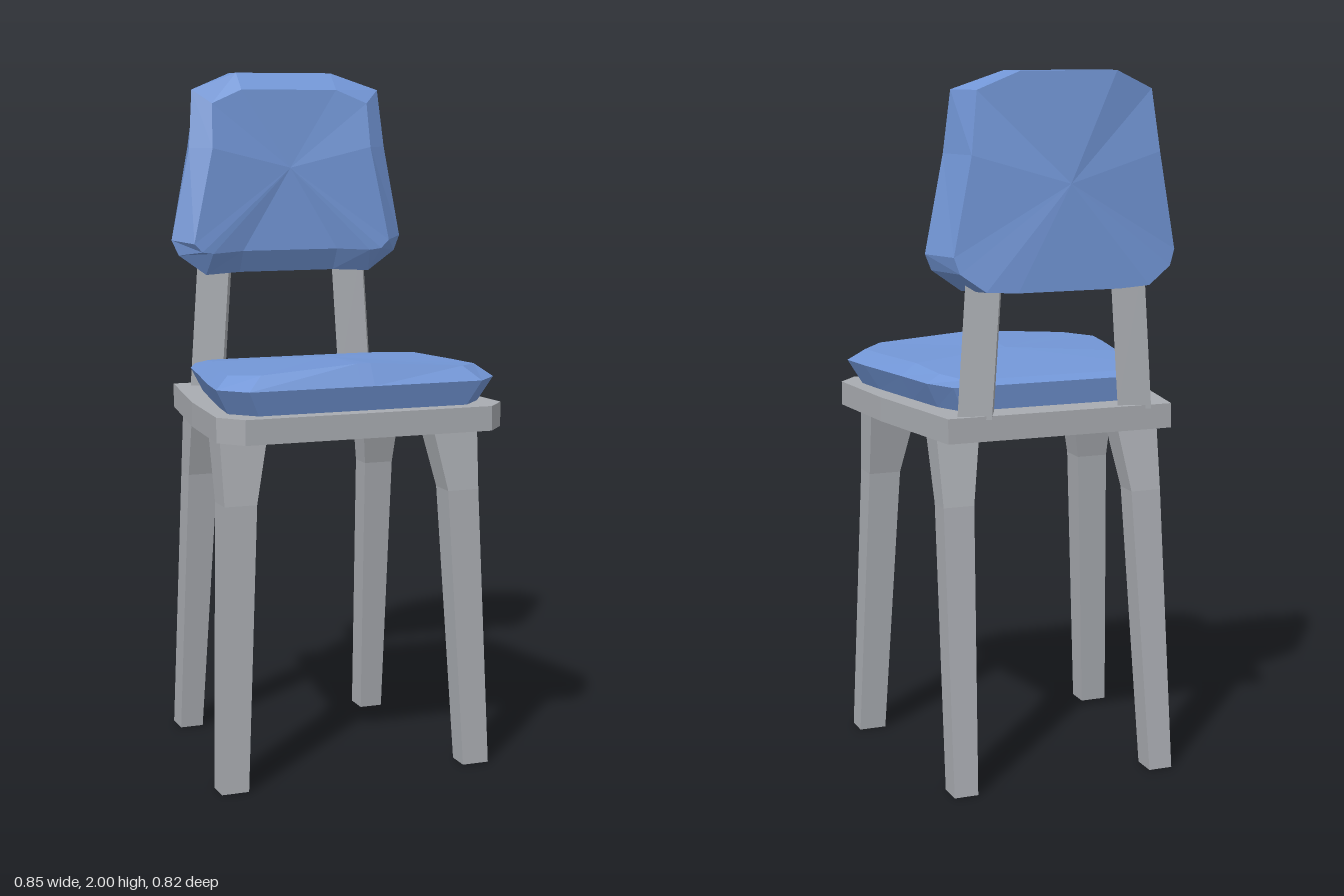
import * as THREE from 'three';

// Flat-shaded skin through rings of [x, y, z]; rings run counterclockwise seen from the last ring.
function loft(name, rings, material, startCentre, endCentre) {
  const pos = [];
  const tri = (a, b, c) => pos.push(...a, ...b, ...c);
  const n = rings[0].length;
  const mean = (r) => [0, 1, 2].map((k) => r.reduce((s, p) => s + p[k], 0) / n);
  const first = rings[0];
  const last = rings[rings.length - 1];
  const c0 = startCentre || mean(first);
  const c1 = endCentre || mean(last);
  for (let i = 0; i < n; i++) {
    const j = (i + 1) % n;
    for (let k = 0; k < rings.length - 1; k++) {
      const a = rings[k];
      const b = rings[k + 1];
      tri(a[i], a[j], b[j]);
      tri(a[i], b[j], b[i]);
    }
    tri(first[j], first[i], c0);
    tri(last[i], last[j], c1);
  }
  const geo = new THREE.BufferGeometry();
  geo.setAttribute('position', new THREE.Float32BufferAttribute(pos, 3));
  geo.computeVertexNormals();
  const mesh = new THREE.Mesh(geo, material);
  mesh.name = name;
  return mesh;
}

// Completes a ring from its +x half
const mirror = (half) => [...half, ...half.slice().reverse().map(([x, y, z]) => [-x, y, z])];
const level = (y, half) => mirror(half.map(([x, z]) => [x, y, z]));

export function createModel() {
  const model = new THREE.Group();
  model.name = 'chair';
  const frame = new THREE.MeshStandardMaterial({ color: 0xa8abb0 });
  frame.name = 'grey frame';
  const fabric = new THREE.MeshStandardMaterial({ color: 0x7296d6 });
  fabric.name = 'blue fabric';

  // Seat board with clipped front corners
  const outline = [[0.365, 0.41], [0.425, 0.34], [0.4, 0.04], [0.335, -0.355]];
  model.add(loft('seatBoard', [level(1.0, outline), level(1.07, outline)], frame));

  // Seat cushion: narrow base, widest rim, domed top
  model.add(loft('seatCushion', [
    level(1.07, [[0.02, 0.36], [0.31, 0.36], [0.375, 0.29], [0.36, 0.17], [0.325, -0.03], [0.3, -0.17], [0.26, -0.26]]),
    level(1.14, [[0.02, 0.385], [0.345, 0.385], [0.415, 0.31], [0.4, 0.19], [0.36, -0.03], [0.335, -0.18], [0.29, -0.275]]),
    mirror([[0.02, 1.2, 0.35], [0.3, 1.18, 0.35], [0.37, 1.175, 0.275], [0.355, 1.175, 0.17],
      [0.315, 1.175, -0.03], [0.29, 1.162, -0.16], [0.24, 1.153, -0.24]]),
  ], fabric, null, [0, 1.188, 0.08]));

  // Backrest cushion: back face, wide rim, slightly hollow front
  model.add(loft('backrest', [
    mirror([[0.15, 1.41, -0.405], [0.24, 1.415, -0.4], [0.31, 1.465, -0.385], [0.325, 1.51, -0.38],
      [0.275, 1.78, -0.385], [0.255, 1.95, -0.37], [0.14, 2, -0.395]]),
    mirror([[0.15, 1.41, -0.27], [0.26, 1.405, -0.255], [0.345, 1.465, -0.255], [0.365, 1.51, -0.26],
      [0.31, 1.78, -0.255], [0.295, 1.95, -0.275], [0.15, 2, -0.295]]),
    mirror([[0.15, 1.475, -0.235], [0.25, 1.47, -0.215], [0.285, 1.475, -0.21], [0.31, 1.5, -0.21],
      [0.25, 1.78, -0.215], [0.245, 1.91, -0.235], [0.15, 1.95, -0.245]]),
  ], fabric, [0, 1.7, -0.412], [0, 1.72, -0.235]));

  // Legs: [y, inner x, outer x, back z, front z] from foot to seat, with a knee
  const legs = {
    frontLeg: [[0, 0.33, 0.41, 0.25, 0.32], [0.81, 0.29, 0.385, 0.2, 0.285], [1, 0.25, 0.39, 0.16, 0.26]],
    backLeg: [[0, 0.265, 0.335, -0.39, -0.315], [0.81, 0.24, 0.33, -0.3, -0.225], [1, 0.21, 0.335, -0.26, -0.17]],
  };
  for (const [name, sections] of Object.entries(legs)) {
    for (const side of [1, -1]) {
      const rings = sections.map(([y, inner, outer, z0, z1]) => {
        const x0 = Math.min(side * inner, side * outer);
        const x1 = Math.max(side * inner, side * outer);
        return [[x1, y, z1], [x1, y, z0], [x0, y, z0], [x0, y, z1]];
      });
      model.add(loft(`${name}${side > 0 ? 'Left' : 'Right'}`, rings, frame));
    }
  }

  // Backrest posts: turned slightly, leaning inward
  const section = [[0.03, 0.052], [0.06, -0.02], [-0.03, -0.052], [-0.06, 0.02]];
  for (const side of [1, -1]) {
    const rings = [[1.06, 0.24], [1.48, 0.212]].map(([y, x]) =>
      section.map(([dx, dz]) => [side * x + dx, y, -0.313 + dz * 0.9]));
    model.add(loft(`backPost${side > 0 ? 'Left' : 'Right'}`, rings, frame));
  }
  return model;
}
